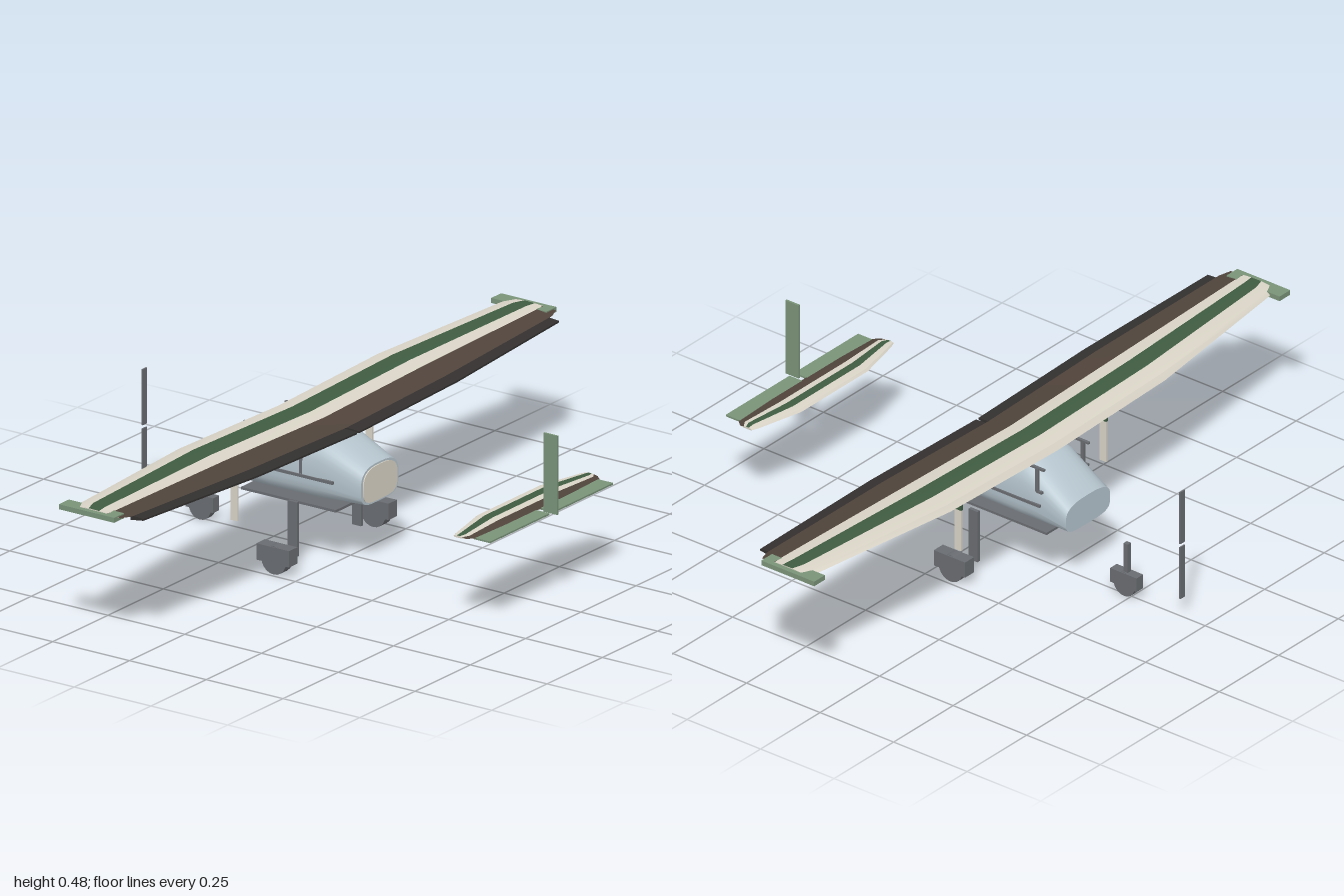
import * as THREE from 'three';
import { toCreasedNormals } from 'three/addons/utils/BufferGeometryUtils.js';

const mat = (name, color) => Object.assign(new THREE.MeshStandardMaterial({ color }), { name });

export function createModel() {
  const cream = mat('cream', 0xd9d4c6), green = mat('dark green', 0x3f5c41);
  const brown = mat('brown', 0x50443b), dark = mat('charcoal', 0x33302f);
  const sage = mat('sage green', 0x7a9378), sky = mat('pale blue', 0xb6c5ce);
  const grey = mat('grey', 0x696c71);
  const model = new THREE.Group();

  const add = (name, geo, material) => {
    const m = new THREE.Mesh(geo, material);
    m.name = name;
    model.add(m);
    return m;
  };
  // box given by its limits on each axis
  const box = (name, material, [x0, x1], [y0, y1], [z0, z1]) => {
    const m = add(name, new THREE.BoxGeometry(x1 - x0, y1 - y0, z1 - z0), material);
    m.position.set((x0 + x1) / 2, (y0 + y1) / 2, (z0 + z1) / 2);
    return m;
  };

  // closed skin over rings of points; strip j takes material index pick(j)
  function loft(rings, pick = () => 0, capStart = 0, capEnd = 0, crease = 0.5) {
    const pos = [], geo = new THREE.BufferGeometry(), n = rings[0].length;
    const tri = (a, b, c) => pos.push(...a, ...b, ...c);
    const group = (start, m) => geo.addGroup(start, pos.length / 3 - start, m);
    for (let j = 0; j < n; j++) {
      const k = (j + 1) % n, start = pos.length / 3;
      for (let i = 0; i < rings.length - 1; i++) {
        const a = rings[i][j], b = rings[i][k], c = rings[i + 1][k], d = rings[i + 1][j];
        tri(a, b, c);
        tri(a, c, d);
      }
      group(start, pick(j));
    }
    [[rings[0], true, capStart], [rings[rings.length - 1], false, capEnd]].forEach(([r, flip, m]) => {
      const start = pos.length / 3;
      for (let j = 1; j < n - 1; j++) flip ? tri(r[0], r[j + 1], r[j]) : tri(r[0], r[j], r[j + 1]);
      group(start, m);
    });
    geo.setAttribute('position', new THREE.Float32BufferAttribute(pos, 3));
    return toCreasedNormals(geo, crease);
  }

  // striped aerofoil: [chord fraction, height as a share of thickness]
  const foil = [[0, 0], [0.06, 0.45], [0.26, 0.7], [0.5, 0.62], [0.69, 0.42], [1, 0.05],
    [0.69, -0.25], [0.5, -0.3], [0.26, -0.3], [0.06, -0.2]];
  const stripes = [0, 0, 1, 0, 2, 2, 0, 1, 0, 0];
  // stations: [x, leading z, trailing z, y, thickness], right half mirrored
  function wing(name, stations) {
    const all = [...stations.slice(1).reverse().map(([x, ...r]) => [-x, ...r]), ...stations];
    const rings = all.map(([x, z0, z1, y, t]) => foil.map(([u, h]) => [x, y + h * t, z0 + (z1 - z0) * u]));
    add(name, loft(rings, j => stripes[j]), [cream, green, brown]);
  }
  wing('mainWing', [[0, -0.25, -0.012, 0.355, 0.034], [0.45, -0.25, -0.012, 0.368, 0.032],
    [0.95, -0.2, -0.028, 0.384, 0.016], [0.985, -0.18, -0.04, 0.387, 0.01]]);
  wing('tailplane', [[0, 0.51, 0.615, 0.26, 0.012], [0.14, 0.51, 0.615, 0.26, 0.012],
    [0.28, 0.543, 0.61, 0.26, 0.009], [0.298, 0.55, 0.59, 0.26, 0.006]]);

  // dark flaps and ailerons, drooped behind the wing
  const flap = (z0, z1, x, y) => [[x, y, z0], [x, y - 0.003, z1], [x, y - 0.008, z1], [x, y - 0.014, z0]];
  for (const s of [-1, 1]) {
    const ends = [flap(-0.03, 0.025, 0.005, 0.355), flap(-0.03, 0.025, 0.45, 0.367), flap(-0.04, 0.002, 0.94, 0.384)];
    ends.forEach(r => r.forEach(p => { p[0] *= s; }));
    add(s > 0 ? 'leftFlap' : 'rightFlap', loft(s > 0 ? ends : ends.reverse()), [dark]);
  }

  // cabin: rounded sections [z, bottom, top, half width]
  const section = ([z, y0, y1, w], k = 1) => Array.from({ length: 32 }, (_, i) => {
    const a = (i / 32) * Math.PI * 2, c = Math.cos(a), s = Math.sin(a);
    const e = s < 0 ? 0.5 : 0.72;
    return [k * w * Math.sign(c) * Math.abs(c) ** e,
      (y0 + y1) / 2 + k * (y1 - y0) / 2 * Math.sign(s) * Math.abs(s) ** e, z];
  });
  const rear = [0.095, 0.175, 0.285, 0.085];
  add('cabin', loft([section([-0.352, 0.17, 0.257, 0.093]), section([-0.23, 0.166, 0.345, 0.099]),
    section([-0.2, 0.166, 0.352, 0.1]), section([-0.04, 0.168, 0.352, 0.1]), section(rear)],
  () => 0, 0, 0, 0.7), [sky]);
  // cream bulkhead closing the rear of the cabin
  add('rearBulkhead', loft([section(rear, 0.9), section([0.098, 0.175, 0.285, 0.085], 0.9)]), [cream]);
  box('bellyPlate', grey, [-0.095, 0.095], [0.152, 0.159], [-0.288, 0.02]);

  // rudder and elevators
  box('rudder', sage, [-0.003, 0.003], [0.258, 0.48], [0.63, 0.675]);
  for (const s of [-1, 1]) {
    const span = (a, b) => (s > 0 ? [a, b] : [-b, -a]);
    const side = s > 0 ? 'left' : 'right';
    box(side + 'Elevator', sage, span(0.01, 0.278), [0.256, 0.261], [0.6, 0.655]);
    box(side + 'WingTip', sage, span(0.955, 1), [0.377, 0.391], [-0.23, -0.05]);

    // wing struts with a green band
    box(side + 'WingStrut', cream, span(0.302, 0.308), [0.155, 0.36], [-0.169, -0.147]);
    box(side + 'StrutBand', green, span(0.301, 0.309), [0.278, 0.297], [-0.17, -0.146]);

    // cabin side trim
    box(side + 'SideRail', grey, span(0.096, 0.103), [0.231, 0.239], [-0.27, 0.015]);
    box(side + 'DoorPost', grey, span(0.09, 0.101), [0.24, 0.347], [-0.096, -0.086]);
    box(side + 'RoofRail', grey, span(0.09, 0.098), [0.342, 0.348], [-0.28, -0.14]);
    box(side + 'FrontPost', grey, span(0.092, 0.1), [0.275, 0.345], [-0.262, -0.252]);
    box(side + 'Hinge', grey, span(0.092, 0.1), [0.272, 0.279], [-0.275, -0.255]);

    // main gear legs
    box(side + 'GearLeg', grey, span(0.14, 0.15), [0.025, 0.178], [-0.097, -0.067]);
  }

  // wheels with box fairings
  function wheel(name, x, z, r, half, len) {
    box(name + 'Fairing', grey, [x - half, x + half], [r * 0.8, r * 1.95], [z - len, z + len]);
    const w = add(name, new THREE.CylinderGeometry(r, r, half * 1.6, 20), grey);
    w.rotation.z = Math.PI / 2;
    w.position.set(x, r, z);
  }
  wheel('leftWheel', 0.225, -0.078, 0.04, 0.019, 0.053);
  wheel('rightWheel', -0.225, -0.078, 0.04, 0.019, 0.053);
  wheel('noseWheel', 0, -0.483, 0.036, 0.014, 0.045);
  box('noseLeg', grey, [-0.007, 0.007], [0.06, 0.157], [-0.492, -0.478]);

  // propeller blades
  box('upperBlade', grey, [-0.01, 0.01], [0.225, 0.382], [-0.674, -0.67]);
  box('lowerBlade', grey, [-0.01, 0.01], [0.058, 0.215], [-0.674, -0.67]);

  return model;
}
